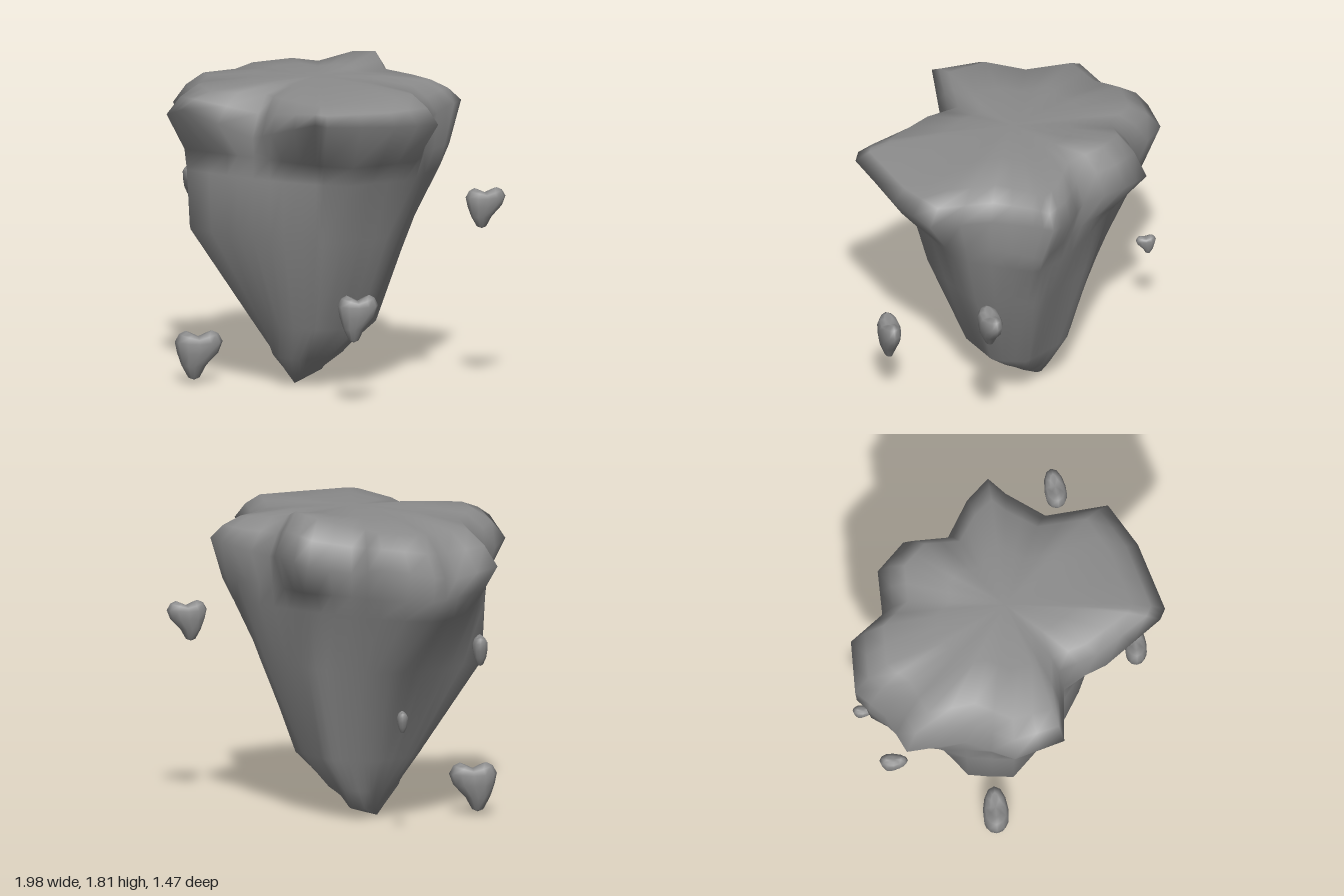
import * as THREE from 'three';

const stone = new THREE.MeshStandardMaterial({ color: 0x8c8c8c });
stone.name = 'stone grey';

// Smooth closed skin: bottom point, rings going up (counterclockwise from above), top point
function loft(bottom, rings, top) {
  const n = rings[0].length;
  const pos = [...bottom, ...rings.flat(2), ...top];
  const last = 1 + rings.length * n;
  const idx = [];
  const at = (r, i) => 1 + r * n + (i % n);
  for (let i = 0; i < n; i++) {
    idx.push(0, at(0, i + 1), at(0, i));
    for (let r = 0; r < rings.length - 1; r++) {
      idx.push(at(r, i), at(r, i + 1), at(r + 1, i + 1));
      idx.push(at(r, i), at(r + 1, i + 1), at(r + 1, i));
    }
    idx.push(at(rings.length - 1, i), at(rings.length - 1, i + 1), last);
  }
  const g = new THREE.BufferGeometry();
  g.setAttribute('position', new THREE.Float32BufferAttribute(pos, 3));
  g.setIndex(idx);
  g.computeVertexNormals();
  return g;
}

// Lobed rim of the island: x, y, z, shoulder height
const rimCorners = [
  [-0.96, 1.51, 0.04, 1.7], [-0.71, 1.5, 0.27, 1.72], [-0.64, 1.56, 0.56, 1.73],
  [-0.41, 1.64, 0.73, 1.73], [-0.1, 1.47, 0.49, 1.71], [0.12, 1.54, 0.62, 1.72],
  [0.49, 1.65, 0.72, 1.73], [0.56, 1.64, 0.7, 1.73], [0.78, 1.61, 0.34, 1.73],
  [0.87, 1.59, 0.06, 1.74], [0.62, 1.55, -0.19, 1.72], [0.58, 1.58, -0.44, 1.72],
  [0.585, 1.6, -0.57, 1.72], [0.42, 1.57, -0.59, 1.73], [0.19, 1.53, -0.55, 1.75],
  [0, 1.58, -0.72, 1.81], [-0.21, 1.53, -0.74, 1.79], [-0.39, 1.5, -0.57, 1.74],
  [-0.64, 1.55, -0.6, 1.73], [-0.85, 1.5, -0.41, 1.71], [-0.85, 1.46, -0.2, 1.7],
];
// Each rim edge is halved so the body sections keep their corners
const rim = rimCorners.flatMap((p, i) => {
  const q = rimCorners[(i + 1) % rimCorners.length];
  return [p, p.map((v, k) => (v + q[k]) / 2)];
});

// Body sections: height, centre, outline as x, z corners
const sections = [
  [0.06, [-0.1, 0], [[-0.05, 0.05], [-0.09, 0.11], [-0.155, 0.08], [-0.165, -0.02],
    [-0.14, -0.14], [-0.06, -0.14], [-0.04, -0.04]]],
  [0.17, [-0.08, 0], [[0.1, 0], [0.03, 0.17], [-0.1, 0.21], [-0.2, 0.15], [-0.25, 0],
    [-0.18, -0.18], [-0.05, -0.21], [0.07, -0.15]]],
  [0.36, [-0.03, 0], [[0.325, -0.05], [0.2, 0.2], [0, 0.265], [-0.3, 0.22], [-0.39, 0.05],
    [-0.3, -0.2], [-0.05, -0.32], [0.25, -0.22]]],
  [0.9, [0, 0], [[0.53, -0.03], [0.36, 0.36], [0.1, 0.45], [-0.1, 0.49], [-0.55, 0.47],
    [-0.69, 0.25], [-0.6, -0.12], [-0.45, -0.38], [-0.05, -0.46], [0.38, -0.38]]],
  [1.24, [0, 0], [[0.65, 0], [0.45, 0.39], [0.1, 0.47], [-0.1, 0.49], [-0.55, 0.49],
    [-0.7, 0.28], [-0.8, 0], [-0.85, -0.36], [-0.6, -0.5], [-0.1, -0.53], [0.3, -0.52],
    [0.54, -0.44], [0.6, -0.2]]],
  [1.36, [0, 0], [[0.72, 0.03], [0.52, 0.46], [0.12, 0.48], [-0.1, 0.48], [-0.56, 0.5],
    [-0.7, 0.27], [-0.87, 0.03], [-0.85, -0.4], [-0.62, -0.54], [-0.39, -0.55],
    [-0.1, -0.61], [0.19, -0.53], [0.56, -0.5], [0.6, -0.19]]],
];

// Distance from the centre to the outline in direction (dx, dz)
function reach(outline, [cx, cz], dx, dz) {
  let best = 0;
  outline.forEach(([x, z], i) => {
    const [qx, qz] = outline[(i + 1) % outline.length];
    const px = x - cx, pz = z - cz, ex = qx - x, ez = qz - z;
    const den = dx * ez - dz * ex;
    if (Math.abs(den) < 1e-9) return;
    const t = (px * ez - pz * ex) / den;
    const s = (px * dz - pz * dx) / den;
    if (t > 0 && s >= -1e-6 && s <= 1 + 1e-6) best = Math.max(best, t);
  });
  return best;
}

function islandGeometry() {
  const body = sections.map(([y, c, outline]) => rim.map(([x, , z]) => {
    const d = Math.hypot(x, z);
    const r = reach(outline, c, x / d, z / d);
    return [c[0] + r * x / d, y, c[1] + r * z / d];
  }));
  const edge = rim.map(([x, y, z]) => [x, y, z]);
  const upper = rim.map(([x, y, z, s]) => [x * 0.91, y + (s - y) * 0.58, z * 0.91]);
  const shoulder = rim.map(([x, , z, s]) => [x * 0.79, s, z * 0.79]);
  const plateau = rim.map(([x, , z, s]) => [x * 0.45, 1.755 + (s - 1.73) * 0.15, z * 0.45]);
  return loft([-0.12, 0, 0.05], [...body, edge, upper, shoulder, plateau], [0, 1.765, 0]);
}

// Two-lobed pebble of unit length and height, pointed at the bottom
function pebbleGeometry() {
  const n = 12;
  // height, length offset, half length, half width, notch depth
  const levels = [
    [0.05, -0.1, 0.12, 0.11, 0], [0.3, -0.1, 0.26, 0.24, 0], [0.55, -0.02, 0.43, 0.29, 0],
    [0.78, 0, 0.5, 0.3, 0.02], [0.94, 0, 0.41, 0.24, 0.1], [1, 0, 0.28, 0.12, 0.13],
  ];
  const rings = levels.map(([y, off, hl, hw, notch]) =>
    Array.from({ length: n }, (_, i) => {
      const a = -i / n * Math.PI * 2;
      const c = Math.cos(a), s = Math.sin(a);
      const waist = (1 - 0.12 * Math.exp(-c * c * 8)) * (c > 0.1 ? 0.85 : 1);
      return [off + hl * c, y - notch * (1 - Math.abs(c)), hw * s * waist];
    }));
  return loft([-0.1, 0, 0], rings, [0, 0.86, 0]);
}

export function createModel() {
  const group = new THREE.Group();
  group.name = 'floatingIsland';

  const island = new THREE.Mesh(islandGeometry(), stone);
  island.name = 'islandRock';
  group.add(island);

  // Loose pebbles around the island: x, bottom y, z, length, height, turn
  const pebbles = [
    [-0.925, 0.96, -0.08, 0.16, 0.17, -0.9],
    [0.91, 0.94, -0.345, 0.23, 0.23, 0.85],
    [-0.68, 0.61, -0.485, 0.115, 0.12, -0.9],
    [0.6, 0.38, 0.46, 0.23, 0.27, 0.75],
    [-0.56, 0.02, 0.36, 0.27, 0.28, 0.72],
  ];
  const shape = pebbleGeometry();
  pebbles.forEach(([x, y, z, l, h, turn], i) => {
    const p = new THREE.Mesh(shape, stone);
    p.name = 'floatingPebble' + (i + 1);
    p.position.set(x, y, z);
    p.scale.set(l, h, l);
    p.rotation.y = turn;
    group.add(p);
  });
  return group;
}
